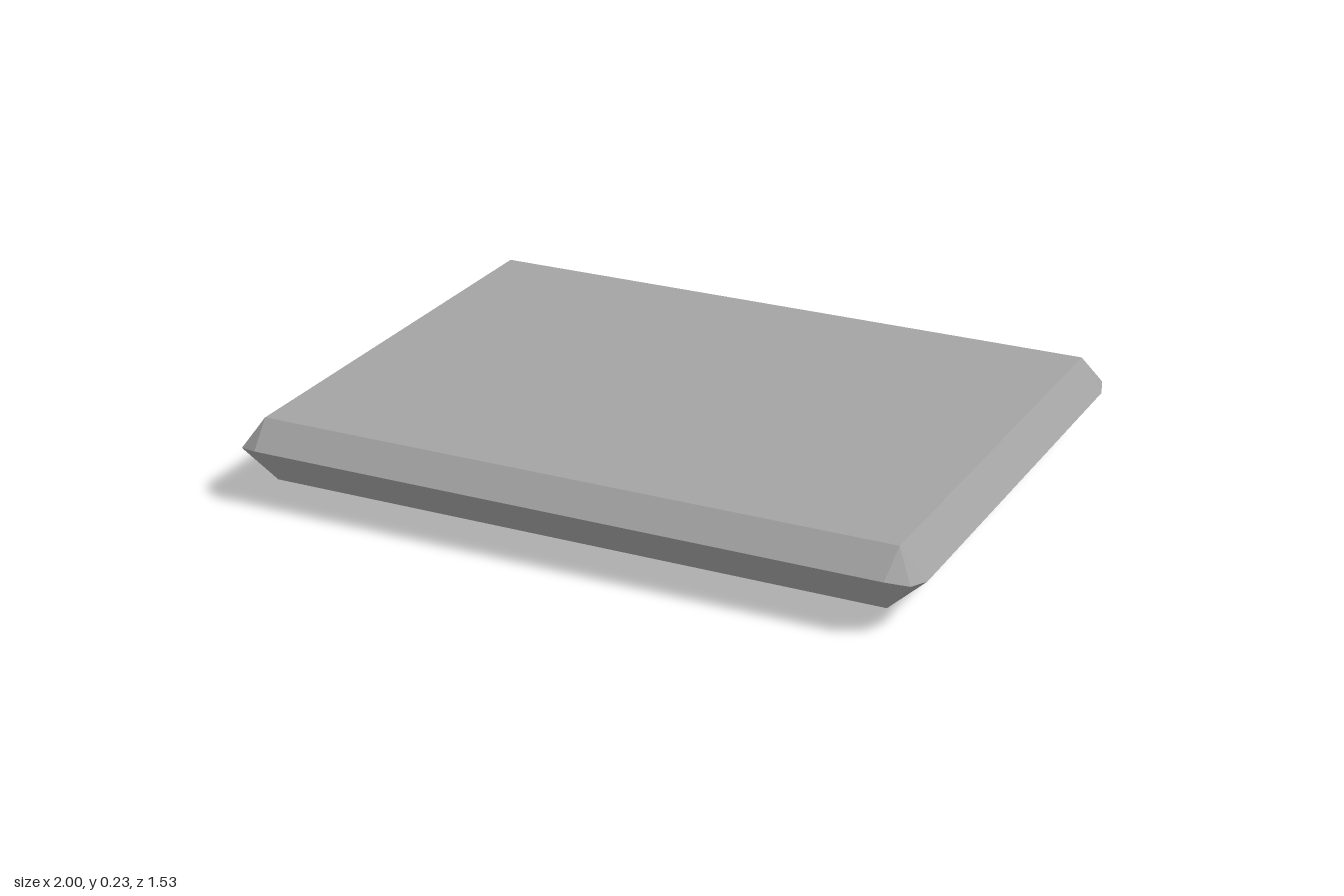
import * as THREE from 'three';

const slabMaterial = new THREE.MeshStandardMaterial({ color: 0xa3a3a3, flatShading: true });
const footMaterial = new THREE.MeshStandardMaterial({ color: 0xcccccc, flatShading: true });

// Corner signs, anticlockwise seen from above
const CORNERS = [[1, 1], [1, -1], [-1, -1], [-1, 1]];

// Rectangle with each corner repeated three times, to match the bevelled rim
function rectangleRing(x, y, z) {
  return CORNERS.flatMap(([sx, sz]) => Array.from({ length: 3 }, () => new THREE.Vector3(sx * x, y, sz * z)));
}

// Widest outline: long edges sit a little higher than the short ones
function rimRing() {
  return CORNERS.flatMap(([sx, sz]) => {
    const corner = [
      new THREE.Vector3(sx * 0.92, sz > 0 ? 0.16 : 0.153, sz * 0.767),
      new THREE.Vector3(sx * 0.98, 0.148, sz * 0.738),
      new THREE.Vector3(sx, 0.139, sz * 0.675),
    ];
    return sx * sz > 0 ? corner : corner.reverse();
  });
}

// Skin consecutive rings and cap both ends, leaving out empty triangles
function loft(rings) {
  const positions = [];
  const triangle = (a, b, c) => {
    if (new THREE.Triangle(a, b, c).getArea() < 1e-7) return;
    for (const p of [a, b, c]) positions.push(p.x, p.y, p.z);
  };
  const n = rings[0].length;
  for (let r = 0; r < rings.length - 1; r++) {
    for (let i = 0; i < n; i++) {
      const j = (i + 1) % n;
      triangle(rings[r][i], rings[r][j], rings[r + 1][j]);
      triangle(rings[r][i], rings[r + 1][j], rings[r + 1][i]);
    }
  }
  const first = rings[0], last = rings[rings.length - 1];
  for (let i = 1; i < n - 1; i++) {
    triangle(first[0], first[i + 1], first[i]);
    triangle(last[0], last[i], last[i + 1]);
  }
  const geometry = new THREE.BufferGeometry();
  geometry.setAttribute('position', new THREE.Float32BufferAttribute(positions, 3));
  geometry.computeVertexNormals();
  return geometry;
}

export function createModel() {
  const group = new THREE.Group();
  group.name = 'slab';

  // Bevelled slab with a shallow recess underneath
  const slab = new THREE.Mesh(loft([
    rectangleRing(0.885, 0.102, 0.675),
    rectangleRing(0.9, 0.05, 0.69),
    rimRing(),
    rectangleRing(0.93, 0.23, 0.692),
  ]), slabMaterial);
  slab.name = 'slabBody';
  group.add(slab);

  // Four faceted domed feet
  const profile = [[0, 0], [0.125, 0.019], [0.215, 0.053], [0.295, 0.104]]
    .map(([r, y]) => new THREE.Vector2(r, y));
  const footGeometry = new THREE.LatheGeometry(profile, 8);
  for (const [sx, sz] of CORNERS) {
    const foot = new THREE.Mesh(footGeometry, footMaterial);
    foot.name = (sz > 0 ? 'front' : 'back') + (sx > 0 ? 'Left' : 'Right') + 'Foot';
    foot.position.set(sx * 0.47, 0, sz * 0.315);
    group.add(foot);
  }
  return group;
}
